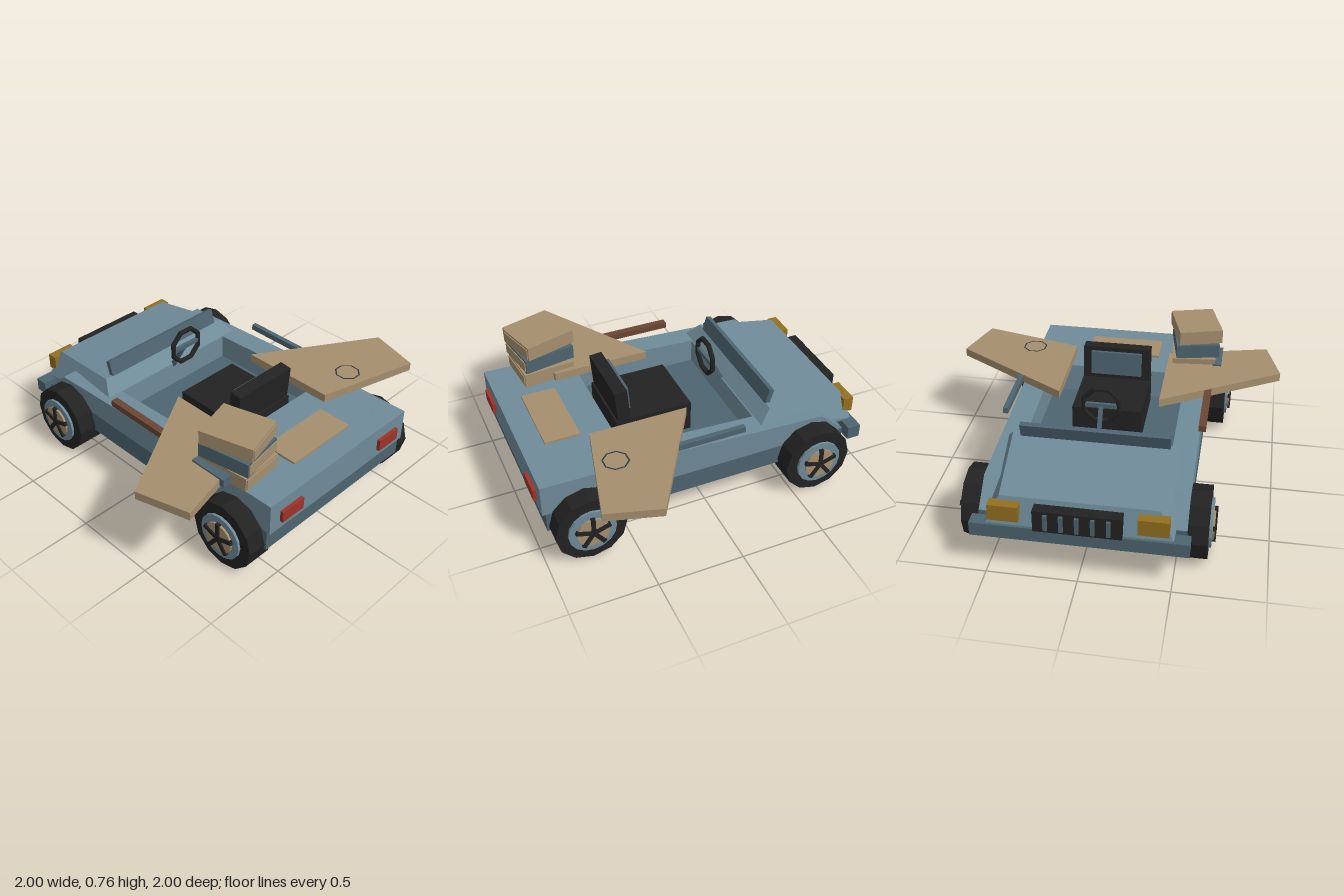
import * as THREE from 'three';
import { ConvexGeometry } from 'three/addons/geometries/ConvexGeometry.js';

const paint = (name, color) => {
  const m = new THREE.MeshStandardMaterial({ color, flatShading: true });
  m.name = name;
  return m;
};

export function createModel() {
  const car = new THREE.Group();
  car.name = 'openBuggy';
  const blue = paint('bodyBlue', 0x6f8b99);
  const dark = paint('darkBlue', 0x4d6470);
  const tan = paint('tan', 0xa58f6e);
  const black = paint('black', 0x222222);
  const red = paint('tailRed', 0x9e332a);
  const amber = paint('lampAmber', 0x94701f);
  const brown = paint('brown', 0x6b4634);
  const ink = paint('ringInk', 0x2a373e);

  const add = (name, geo, mat, parent = car) => {
    const m = new THREE.Mesh(geo, mat);
    m.name = name;
    parent.add(m);
    return m;
  };
  // Box given by its low and high corners
  const box = (name, mat, x0, x1, y0, y1, z0, z1, parent = car) => {
    const m = add(name, new THREE.BoxGeometry(x1 - x0, y1 - y0, z1 - z0), mat, parent);
    m.position.set((x0 + x1) / 2, (y0 + y1) / 2, (z0 + z1) / 2);
    return m;
  };
  // Side profile of (z, y) points, extruded from x0 to x1
  const profile = (name, mat, pts, x0, x1) => {
    const shape = new THREE.Shape(pts.map(([z, y]) => new THREE.Vector2(-z, y)));
    const g = new THREE.ExtrudeGeometry(shape, { depth: x1 - x0, bevelEnabled: false });
    g.rotateY(Math.PI / 2).translate(x0, 0, 0);
    return add(name, g, mat);
  };

  // Chassis, whose top is the cockpit floor
  box('chassis', dark, -0.56, 0.56, 0.175, 0.3, -0.86, 0.96);

  // Upper body around the open cockpit
  const side = [[0.98, 0.295], [0.98, 0.487], [0.3, 0.478], [-0.71, 0.43], [-0.86, 0.295]];
  profile('leftSide', blue, side, 0.42, 0.56);
  profile('rightSide', blue, side, -0.56, -0.42);
  profile('rearDeck', blue, [[0.98, 0.295], [0.98, 0.487], [0.46, 0.48], [0.46, 0.295]], -0.42, 0.42);
  profile('nose', blue, [[-0.33, 0.295], [-0.33, 0.447], [-0.71, 0.43], [-0.86, 0.295]], -0.42, 0.42);

  // Tapered hood
  const hood = [];
  for (const s of [-1, 1]) {
    for (const [x, y, z] of [[0.5, 0.295, -0.955], [0.425, 0.455, -0.91], [0.47, 0.52, -0.41],
      [0.52, 0.44, -0.33], [0.52, 0.3, -0.33]]) hood.push(new THREE.Vector3(s * x, y, z));
  }
  add('hood', new ConvexGeometry(hood), blue);

  // Windscreen bar, leaning forward
  const screen = box('windscreenBar', dark, -0.42, 0.42, 0.445, 0.605, -0.44, -0.41);
  screen.rotation.x = -0.27;

  // Bumper, grille and lamps
  box('bumper', dark, -0.585, 0.585, 0.218, 0.3, -0.97, -0.89);
  box('grille', black, -0.235, 0.235, 0.3, 0.43, -0.985, -0.92);
  for (let i = -2; i <= 2; i++) {
    const x = i * 0.083;
    box('grilleBar', dark, x - 0.011, x + 0.011, 0.32, 0.415, -1, -0.98);
  }
  for (const s of [-1, 1]) {
    box('headlamp', amber, s * 0.395 - 0.082, s * 0.395 + 0.082, 0.335, 0.43, -0.972, -0.91);
    box('tailLamp', red, s * 0.403 - 0.081, s * 0.403 + 0.081, 0.345, 0.415, 0.97, 1);
  }

  // Wheels: tyre, rim, hub disc and five spokes
  const disc = (name, mat, r, x0, x1, sides, parent) => {
    const g = new THREE.CylinderGeometry(r, r, x1 - x0, sides);
    g.rotateZ(-Math.PI / 2).translate((x0 + x1) / 2, 0, 0);
    return add(name, g, mat, parent);
  };
  for (const s of [-1, 1]) {
    for (const z of [0.745, -0.64]) {
      const wheel = new THREE.Group();
      wheel.name = z > 0 ? 'rearWheel' : 'frontWheel';
      wheel.position.set(s * 0.5, 0.204, z);
      if (s < 0) wheel.rotation.y = Math.PI;
      car.add(wheel);
      disc('tyre', black, 0.204, 0, 0.17, 12, wheel);
      disc('rim', blue, 0.137, 0.16, 0.185, 16, wheel);
      disc('hubDisc', tan, 0.093, 0.18, 0.197, 16, wheel);
      for (let i = 0; i < 5; i++) {
        const g = new THREE.BoxGeometry(0.018, 0.105, 0.024);
        g.translate(0.197, 0.05, 0).rotateX(i * Math.PI * 0.4);
        add('spoke', g, black, wheel);
      }
    }
  }

  // Seat
  box('seatBase', black, -0.207, 0.207, 0.3, 0.485, -0.04, 0.42);
  const back = new THREE.Group();
  back.name = 'seatBack';
  back.position.set(0, 0.575, 0.375);
  back.rotation.x = 0.08;
  car.add(back);
  box('backrest', black, -0.205, 0.205, -0.115, 0.11, -0.035, 0.04, back);
  box('backPad', dark, -0.155, 0.155, -0.06, 0.085, -0.058, -0.03, back);

  // Steering wheel and column
  const ring = new THREE.TorusGeometry(0.107, 0.015, 6, 8);
  ring.rotateZ(Math.PI / 8).translate(0, 0.63, -0.225);
  add('steeringWheel', ring, black);
  const column = box('steeringColumn', dark, -0.012, 0.012, 0.42, 0.64, -0.3, -0.275);
  column.rotation.x = 0.5;
  box('steeringSpoke', dark, -0.1, 0.1, 0.615, 0.64, -0.235, -0.215);

  // Flat wings with a ring painted on the left one
  for (const s of [-1, 1]) {
    const pts = [[0.3, 0.03], [1, 0.457], [0.91, 0.763], [0.3, 0.61]];
    const shape = new THREE.Shape(pts.map(([x, z]) => new THREE.Vector2(s * x, z)));
    const g = new THREE.ExtrudeGeometry(shape, { depth: 0.05, bevelEnabled: false });
    g.rotateX(Math.PI / 2).translate(0, 0.54, 0);
    add(s > 0 ? 'leftWing' : 'rightWing', g, tan);
  }
  const mark = new THREE.RingGeometry(0.067, 0.076, 8, 1, Math.PI / 8);
  mark.rotateX(-Math.PI / 2).translate(0.565, 0.543, 0.558);
  add('wingRing', mark, ink);

  // Side rails under the wings
  box('leftRail', dark, 0.555, 0.585, 0.5, 0.535, -0.2, 0.49);
  box('rightRail', brown, -0.595, -0.553, 0.5, 0.537, -0.21, 0.49);
  box('railBlock', dark, -0.635, -0.58, 0.5, 0.55, 0.49, 0.72);

  // Deck plate
  box('deckPlate', tan, -0.228, 0.228, 0.48, 0.497, 0.64, 0.845);

  // Stack of twisted cases, each with a label on its rear face
  [[0.49, 5, -0.45, tan], [0.585, 10, -0.46, dark], [0.68, 16, -0.46, tan]].forEach(([y, deg, x, mat]) => {
    const crate = new THREE.Group();
    crate.name = 'case';
    crate.position.set(x, y, 0.648);
    crate.rotation.y = THREE.MathUtils.degToRad(deg);
    car.add(crate);
    box('caseBody', mat, -0.133, 0.133, 0, 0.085, -0.155, 0.155, crate);
    box('caseLabel', tan, -0.125, 0.125, 0.012, 0.073, 0.154, 0.161, crate);
  });

  return car;
}
